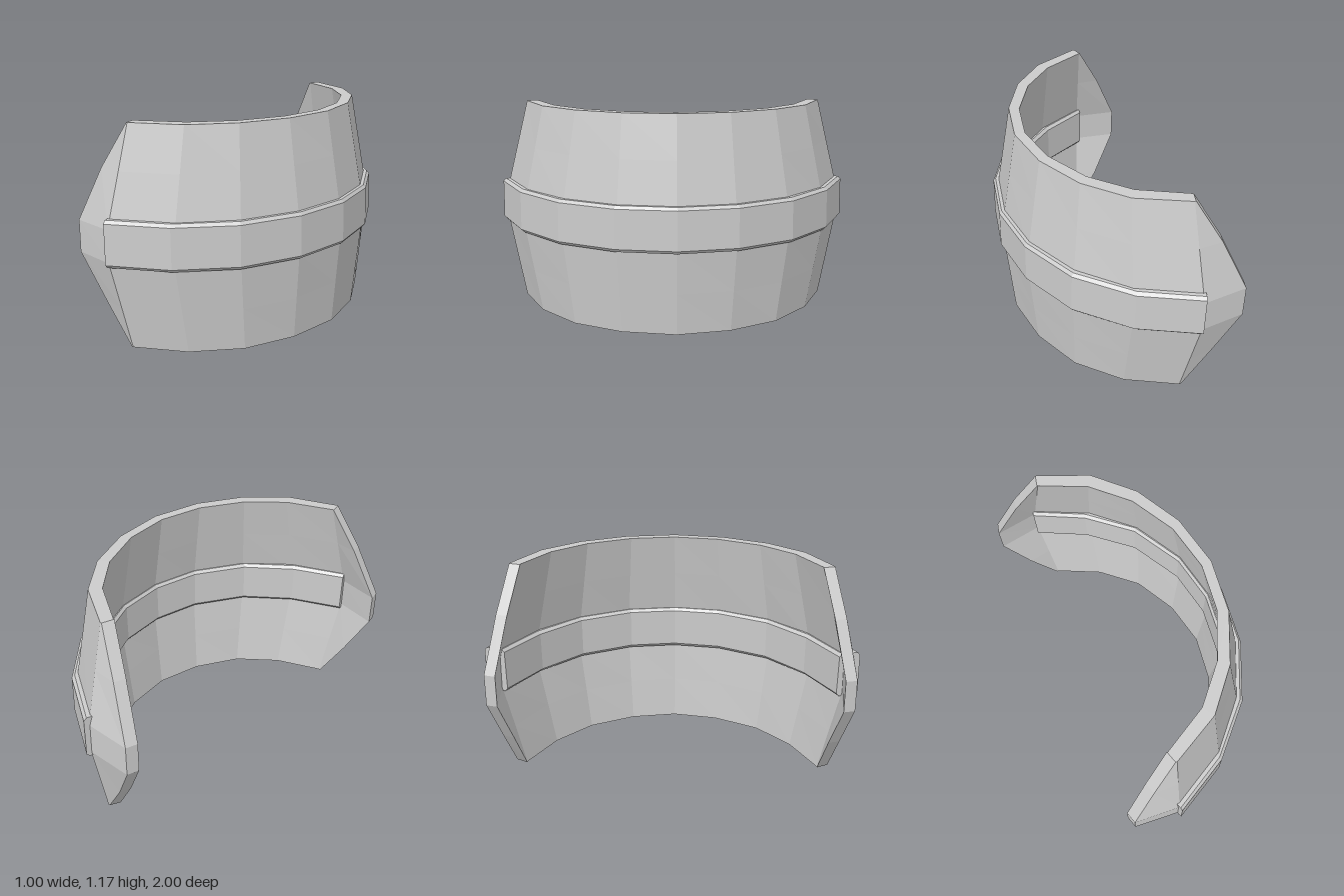
import * as THREE from 'three';

const mix = (a, b, t) => a + (b - a) * t;
const mix2 = (p, q, t) => [mix(p[0], q[0], t), mix(p[1], q[1], t)];

// Lofts closed sections (from the middle to the +z end), mirrored to -z, with capped ends
function mirroredLoft(name, half) {
  const flip = half.slice(1).reverse().map((s) => s.map(([x, y, z]) => [x, y, -z]));
  const cols = [...flip, ...half];
  const n = half[0].length;
  const index = [];
  const quad = (a, b, c, d) => index.push(a, b, c, a, c, d);
  for (let j = 0; j < cols.length - 1; j++) {
    for (let i = 0; i < n; i++) {
      const k = (i + 1) % n;
      quad(j * n + i, j * n + k, (j + 1) * n + k, (j + 1) * n + i);
    }
  }
  const last = (cols.length - 1) * n;
  for (let i = 0; i < n / 2 - 1; i++) {
    quad(last + i, last + i + 1, last + n - 2 - i, last + n - 1 - i);
    quad(n - 1 - i, n - 2 - i, i + 1, i);
  }
  const geo = new THREE.BufferGeometry();
  geo.setAttribute('position', new THREE.Float32BufferAttribute(cols.flat(2), 3));
  geo.setIndex(index);
  geo.computeVertexNormals();
  const mesh = new THREE.Mesh(geo, new THREE.MeshStandardMaterial({ color: 0xcccccc, flatShading: true }));
  mesh.name = name;
  return mesh;
}

// Outer plan outlines [x, z] from the middle to the end
const bottom = [[0.44, 0], [0.39, 0.29], [0.265, 0.55], [0.06, 0.75], [-0.205, 0.88]];
const lower = [[0.48, 0], [0.432, 0.31], [0.287, 0.6], [0.06, 0.828], [-0.245, 0.973]];
const upper = [[0.475, 0], [0.427, 0.307], [0.283, 0.595], [0.058, 0.82], [-0.245, 0.968]];
const top = [[0.385, 0], [0.34, 0.275], [0.22, 0.52], [0.04, 0.71], [-0.215, 0.83]];
const bandLine = [[0.5, 0], [0.45, 0.32], [0.302, 0.62], [0.06, 0.852], [-0.242, 0.998]];

// Step from the outer to the inner wall at each column; the last is the flap tip
const inward = [[-0.055, 0], [-0.05, -0.03], [-0.048, -0.042], [-0.038, -0.058], [-0.018, -0.06], [-0.016, -0.06]];
const rowY = [0.01, 0.24, 0.49, 0.66, 0.94, 1.17];

// Pointed flap edge beyond the last column
const tip = [[-0.215, 0.879], [-0.355, 0.905], [-0.484, 0.943], [-0.484, 0.94], [-0.355, 0.885], [-0.222, 0.829]];

function shellSection(rows, step) {
  const outer = rows.map(([x, z], r) => [x, rowY[r], z]);
  const inner = rows.map(([x, z], r) => [x + step[0], r ? rowY[r] : 0, z + step[1]]);
  return [...outer, ...inner.reverse()];
}

// Bevelled strip section: [depth from outer to inner face, height]
const bandProfile = [[0.12, 0.47], [0, 0.487], [0.04, 0.698], [0.16, 0.714], [0.88, 0.714], [1, 0.698], [1, 0.487], [0.88, 0.47]];

export function createModel() {
  const group = new THREE.Group();
  group.name = 'curvedCuff';

  // Curved shell with pointed flaps at both ends
  const shell = bottom.map((b, c) => shellSection([
    b, mix2(b, lower[c], 0.48), lower[c], upper[c], mix2(upper[c], top[c], 0.55), top[c],
  ], inward[c]));
  shell.push(shellSection(tip, inward[5]));
  group.add(mirroredLoft('shell', shell));

  // Raised band standing proud of both faces of the shell
  const band = bandLine.map(([x, z], c) => bandProfile.map(([t, y]) => [
    x + inward[c][0] * 1.95 * t, y, z + inward[c][1] * 1.95 * t,
  ]));
  group.add(mirroredLoft('band', band));

  return group;
}
